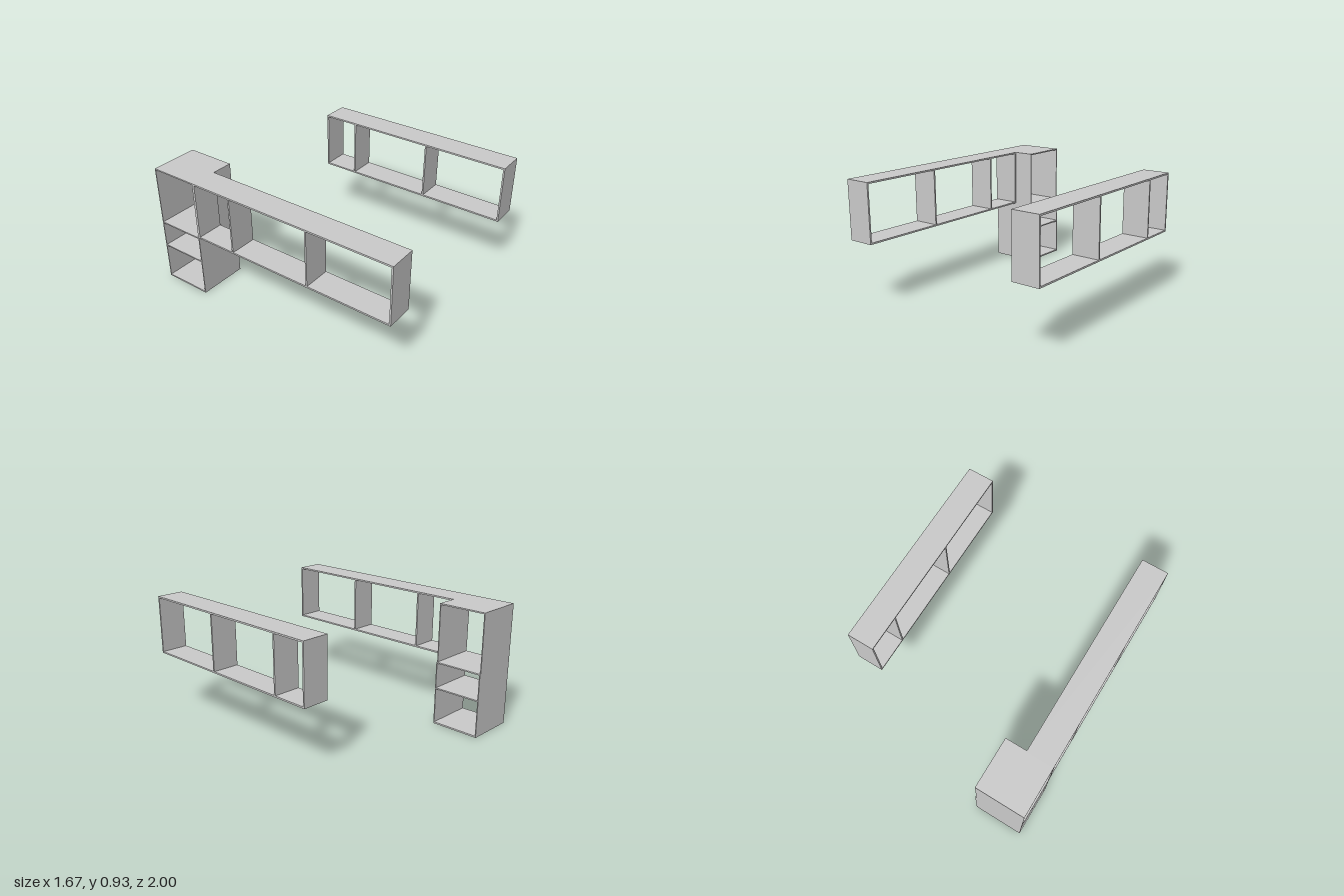
import * as THREE from 'three';

const T = 0.012; // shelf board thickness
const S = 0.007; // cabinet board thickness
const material = new THREE.MeshStandardMaterial({ color: 0xcccccc, flatShading: true });

// Board given by its min and max along each axis
function board(parent, name, [x0, x1], [y0, y1], [z0, z1]) {
  const mesh = new THREE.Mesh(new THREE.BoxGeometry(x1 - x0, y1 - y0, z1 - z0), material);
  mesh.position.set((x0 + x1) / 2, (y0 + y1) / 2, (z0 + z1) / 2);
  mesh.name = name;
  parent.add(mesh);
}

// Long open shelf running along z, with end panels and two dividers
function longShelf(name, x, back) {
  const group = new THREE.Group();
  group.name = name;
  const bottom = 0.49, top = 0.933, front = 1;
  board(group, 'bottomBoard', x, [bottom, bottom + T], [back, front]);
  board(group, 'topBoard', x, [top - T, top], [back, front]);
  const inner = [bottom + T, top - T];
  board(group, 'frontPanel', x, inner, [front - T, front]);
  board(group, 'backPanel', x, inner, [back, back + T]);
  for (const z of [0.354, -0.294]) board(group, 'divider', x, inner, [z - T / 2, z + T / 2]);
  return group;
}

// Tall corner cabinet, open on both x sides; the lower box is slightly deeper
function cabinet() {
  const group = new THREE.Group();
  group.name = 'cornerCabinet';
  const x0 = -0.833, back = -1, front = -0.622, split = 0.49, top = 0.933;
  const lower = [x0, -0.456], upper = [x0, -0.466];
  for (const z of [[back, back + S], [front - S, front]]) {
    board(group, 'lowerSide', lower, [0, split], z);
    board(group, 'upperSide', upper, [split, top], z);
  }
  const inside = [back + S, front - S];
  board(group, 'base', lower, [0, 0.012], inside);
  board(group, 'shelf', lower, [0.278, 0.288], inside);
  board(group, 'middleBoard', lower, [split - 0.01, split], inside);
  board(group, 'top', upper, [top - 0.01, top], inside);
  return group;
}

export function createModel() {
  const model = new THREE.Group();
  model.name = 'shelving';
  model.add(longShelf('leftShelf', [0.628, 0.833], -0.571));
  model.add(longShelf('rightShelf', [-0.833, -0.628], -0.622));
  model.add(cabinet());
  return model;
}
